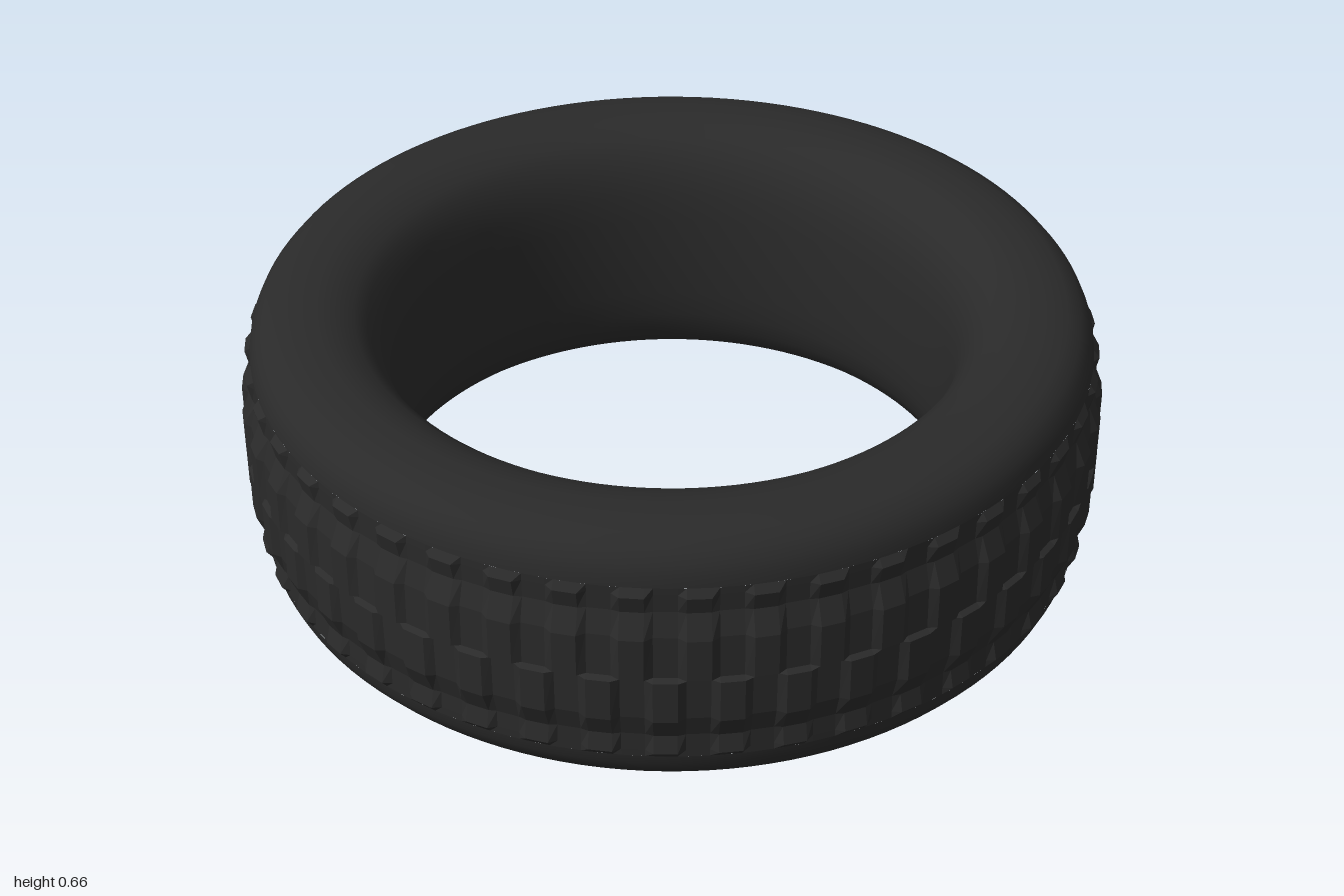
import * as THREE from 'three';

const HEIGHT = 0.66;
const BLOCKS = 44;

const rubber = new THREE.MeshStandardMaterial({ color: 0x2a2a2a });
rubber.name = 'black rubber';

// Smooth carcass: shoulders, sidewalls and inner wall, mirrored about mid height
function createCarcass() {
  const upper = [
    [0.972, 0.56], [0.968, 0.585], [0.957, 0.61], [0.937, 0.635], [0.905, 0.652],
    [0.86, 0.659], [0.81, 0.66], [0.77, 0.653], [0.73, 0.635], [0.70, 0.61],
    [0.675, 0.565], [0.66, 0.51], [0.653, 0.44], [0.65, 0.33],
  ];
  const lower = upper.slice(0, -1).reverse().map(([r, y]) => [r, HEIGHT - y]);
  const profile = [...upper, ...lower].map(([r, y]) => new THREE.Vector2(r, y));
  const mesh = new THREE.Mesh(new THREE.LatheGeometry(profile, 128), rubber);
  mesh.name = 'sidewalls';
  return mesh;
}

// Faceted tread: rows of raised blocks, the lower half staggered by half a block
function createTread() {
  // [height above mid, radius in the gaps, extra radius on the blocks]
  const half = [
    [0.004, 0.988, 0.012], [0.11, 0.986, 0.014], [0.168, 0.971, 0.005],
    [0.212, 0.972, 0.014], [0.23, 0.972, 0],
  ];
  const rows = [
    ...half.slice().reverse().map(([h, r, rise]) => ({ y: HEIGHT / 2 - h, r, rise, flip: true })),
    ...half.map(([h, r, rise]) => ({ y: HEIGHT / 2 + h, r, rise, flip: false })),
  ];
  const steps = [[0, true], [0.37, true], [0.5, false], [0.87, false]];
  const columns = BLOCKS * steps.length;
  const positions = [];
  const indices = [];
  rows.forEach(({ y, r, rise, flip }, j) => {
    for (let i = 0; i < columns; i++) {
      const [offset, high] = steps[i % steps.length];
      const angle = ((Math.floor(i / steps.length) + offset) / BLOCKS) * Math.PI * 2;
      const radius = r + (high !== flip ? rise : 0);
      positions.push(Math.sin(angle) * radius, y, Math.cos(angle) * radius);
      if (j === rows.length - 1) continue;
      const a = j * columns + i;
      const b = j * columns + ((i + 1) % columns);
      indices.push(a, b, b + columns, a, b + columns, a + columns);
    }
  });
  const indexed = new THREE.BufferGeometry();
  indexed.setAttribute('position', new THREE.Float32BufferAttribute(positions, 3));
  indexed.setIndex(indices);
  const geometry = indexed.toNonIndexed();
  geometry.computeVertexNormals();
  const mesh = new THREE.Mesh(geometry, rubber);
  mesh.name = 'treadBlocks';
  return mesh;
}

export function createModel() {
  const tyre = new THREE.Group();
  tyre.name = 'tyre';
  tyre.add(createCarcass(), createTread());
  return tyre;
}
